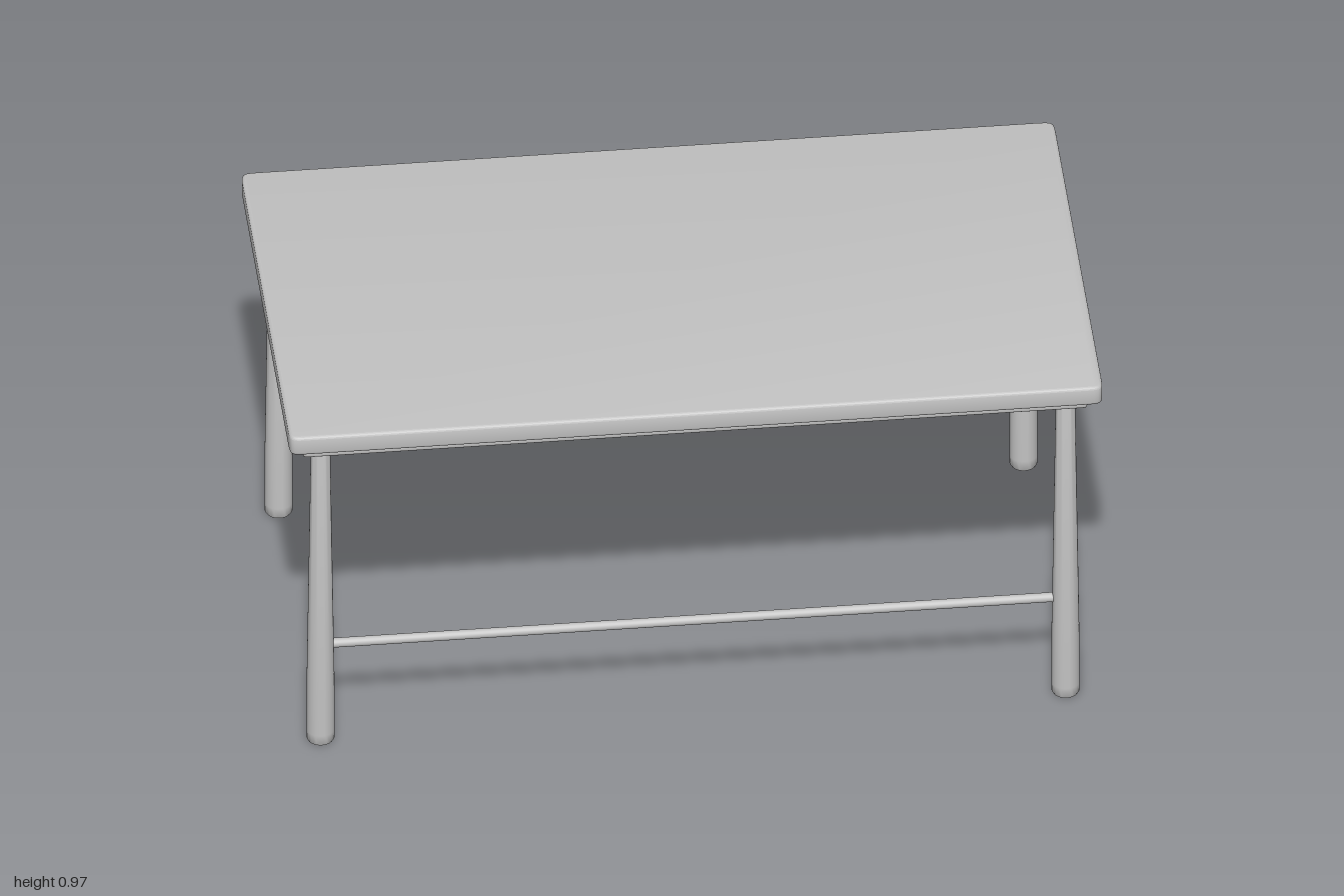
import * as THREE from 'three';
import { toCreasedNormals } from 'three/addons/utils/BufferGeometryUtils.js';

const LEG_X = 0.916, LEG_Z = 0.476;

// Horizontal slab with slightly eased corners and bevelled rims
function slab(hx, hz, y0, y1, ease, bevel) {
  const s = new THREE.Shape();
  s.moveTo(hx, -hz + ease);
  s.lineTo(hx, hz - ease);
  s.bezierCurveTo(hx, hz, hx, hz, hx - ease, hz);
  s.lineTo(-hx + ease, hz);
  s.bezierCurveTo(-hx, hz, -hx, hz, -hx, hz - ease);
  s.lineTo(-hx, -hz + ease);
  s.bezierCurveTo(-hx, -hz, -hx, -hz, -hx + ease, -hz);
  s.lineTo(hx - ease, -hz);
  s.bezierCurveTo(hx, -hz, hx, -hz, hx, -hz + ease);
  const geo = new THREE.ExtrudeGeometry(s, {
    depth: y1 - y0 - 2 * bevel, curveSegments: 8,
    bevelThickness: bevel, bevelSize: bevel, bevelOffset: -bevel, bevelSegments: 3,
  });
  geo.rotateX(-Math.PI / 2).translate(0, y0 + bevel, 0);
  return toCreasedNormals(geo, 0.7);
}

export function createModel() {
  const grey = new THREE.MeshStandardMaterial({ color: 0xc2c2c2 });
  grey.name = 'plain grey';
  const table = new THREE.Group();
  table.name = 'table';

  const add = (name, geo, x = 0, y = 0, z = 0) => {
    const mesh = new THREE.Mesh(geo, grey);
    mesh.name = name;
    mesh.position.set(x, y, z);
    table.add(mesh);
  };

  // Table top and the thinner board set back below it
  add('tableTop', slab(1, 0.559, 0.916, 0.968, 0.05, 0.007));
  add('underBoard', slab(0.965, 0.531, 0.887, 0.908, 0.02, 0.006));

  // Tapered round legs with eased ends
  const profile = [
    [0, 0], [0.031, 0], [0.0345, 0.006], [0.0348, 0.03], [0.034, 0.19],
    [0.024, 0.87], [0.022, 0.881], [0.017, 0.888], [0, 0.888],
  ].map(([r, y]) => new THREE.Vector2(r, y));
  const legGeo = toCreasedNormals(new THREE.LatheGeometry(profile, 32), 0.7);

  // Long stretcher rods, ending inside the legs
  const rodGeo = new THREE.CylinderGeometry(0.012, 0.012, 2 * LEG_X, 20);
  rodGeo.rotateZ(Math.PI / 2);

  for (const [end, sz] of [['front', 1], ['back', -1]]) {
    for (const [side, sx] of [['Left', 1], ['Right', -1]]) {
      add(`${end}${side}Leg`, legGeo, sx * LEG_X, 0, sz * LEG_Z);
    }
    add(`${end}Stretcher`, rodGeo, 0, 0.285, sz * LEG_Z);
  }
  return table;
}
